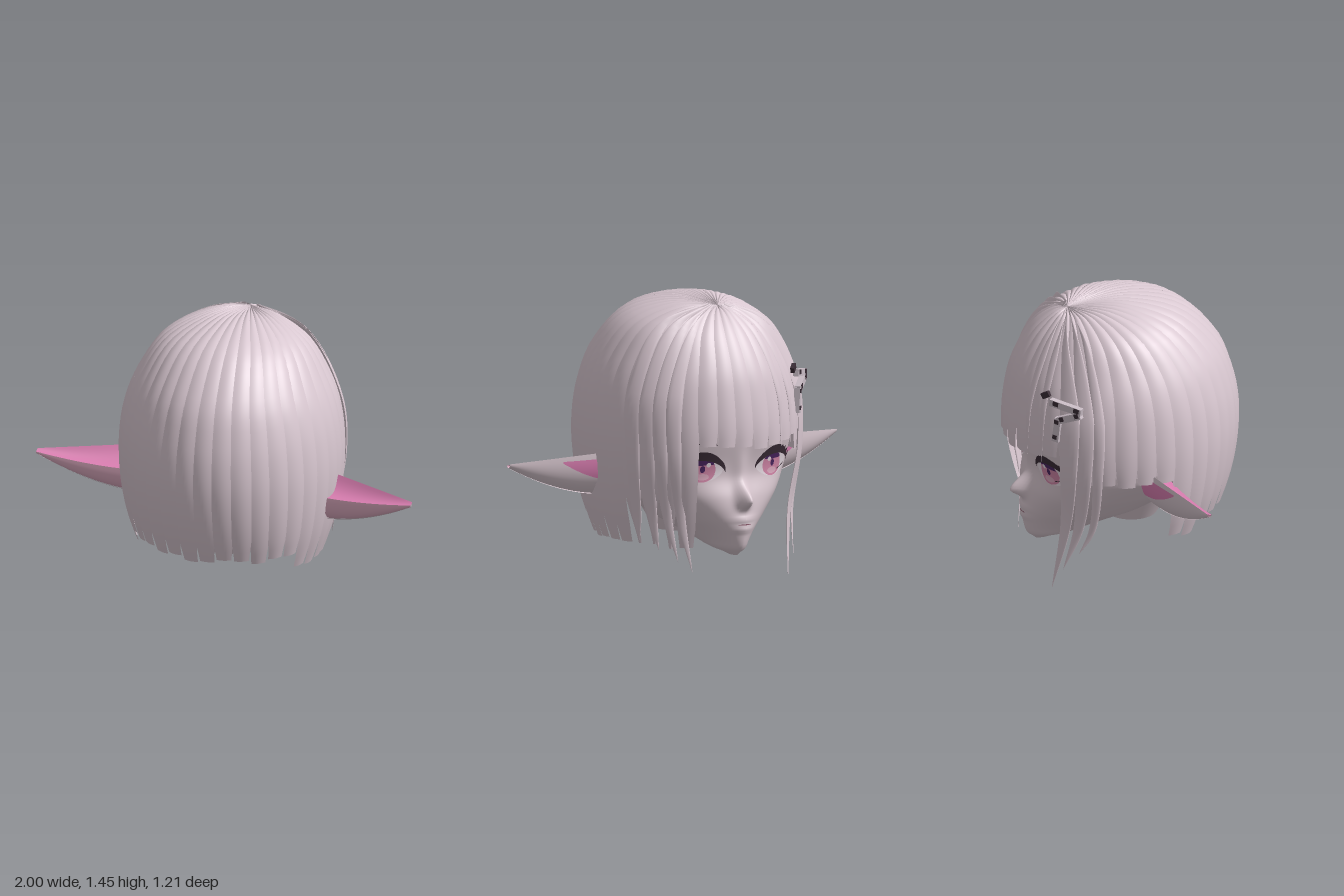
import * as THREE from 'three';

const mat = (name, color) => {
  const m = new THREE.MeshStandardMaterial({ color, side: THREE.DoubleSide });
  m.name = name;
  return m;
};
const { lerp, smoothstep, degToRad } = THREE.MathUtils;

// Smooth grid surface from a rule fn(u, v) -> [x, y, z]
function grid(nu, nv, fn) {
  const pos = [], idx = [];
  for (let j = 0; j <= nv; j++) for (let i = 0; i <= nu; i++) pos.push(...fn(i / nu, j / nv));
  for (let j = 0; j < nv; j++) for (let i = 0; i < nu; i++) {
    const a = j * (nu + 1) + i, b = a + nu + 1;
    idx.push(a, a + 1, b, a + 1, b + 1, b);
  }
  const g = new THREE.BufferGeometry();
  g.setAttribute('position', new THREE.Float32BufferAttribute(pos, 3));
  g.setIndex(idx);
  g.computeVertexNormals();
  return g;
}

// Smooth interpolation between table rows
function sample(rows, s) {
  const n = rows.length - 1, i = Math.min(Math.max(Math.floor(s), 0), n - 1), t = s - i;
  const p0 = rows[Math.max(i - 1, 0)], p1 = rows[i], p2 = rows[i + 1], p3 = rows[Math.min(i + 2, n)];
  return p1.map((b, k) => {
    const m1 = (p2[k] - p0[k]) / 2, m2 = (p3[k] - b) / 2, d = p2[k] - b;
    return b + t * (m1 + t * (3 * d - 2 * m1 - m2 + t * (m1 + m2 - 2 * d)));
  });
}

// Face cross-sections: y, front z, widest z, back z, half width
const FACE = [
  [0.155, -0.45, -0.42, -0.38, 0.01], [0.19, -0.495, -0.36, -0.22, 0.075], [0.25, -0.515, -0.25, -0.05, 0.14],
  [0.34, -0.52, -0.12, 0.14, 0.255], [0.45, -0.505, -0.05, 0.3, 0.36], [0.58, -0.472, 0, 0.4, 0.45],
  [0.8, -0.52, 0, 0.48, 0.49], [1.0, -0.51, 0, 0.46, 0.47], [1.2, -0.4, -0.02, 0.36, 0.37], [1.34, -0.1, -0.05, 0, 0.02],
];
function faceRow(y) {
  let i = 0;
  while (i < FACE.length - 2 && y > FACE[i + 1][0]) i++;
  const r = sample(FACE, i + (y - FACE[i][0]) / (FACE[i + 1][0] - FACE[i][0]));
  return { zf: r[1], zc: r[2], zb: r[3], w: Math.max(r[4], 0.005), p: 1.8 + 0.8 * smoothstep(y, 0.2, 0.55) };
}
const bell = (d, w) => Math.exp(-((d / w) ** 2));
// Nose, bridge and lips
const bumps = (x, y) => 0.08 * bell(y - 0.44, y > 0.44 ? 0.075 : 0.035) * bell(x, 0.036)
  + 0.02 * bell(y - 0.6, 0.1) * bell(x, 0.045)
  + 0.013 * (bell(y - 0.345, 0.018) + bell(y - 0.297, 0.018)) * bell(x, 0.06);
function faceZ(x, y) {
  const { zf, zc, w, p } = faceRow(y);
  return zc + (zf - zc) * Math.max(0, 1 - (Math.abs(x) / w) ** p) ** (1 / p) - bumps(x, y);
}

// Hair dome levels: front z, front y, back z, back y, half width
const HAIR = [
  [-0.28, 1.41, -0.28, 1.41, 0], [-0.35, 1.38, 0, 1.452, 0.17], [-0.45, 1.28, 0.29, 1.385, 0.36],
  [-0.535, 1.14, 0.49, 1.2, 0.475], [-0.58, 1, 0.575, 1, 0.54], [-0.605, 0.8, 0.605, 0.8, 0.567],
  [-0.59, 0.6, 0.59, 0.6, 0.56], [-0.54, 0.4, 0.54, 0.4, 0.525], [-0.47, 0.2, 0.46, 0.2, 0.46],
];
const levelOf = (y) => 4 + (1 - y) * 5;
// Angle 0 is the back of the head, 90 is +x, 180 is the face
function hairPoint(deg, s, k = 1) {
  const [zf, yf, zb, yb, w] = sample(HAIR, s), a = degToRad(deg), c = Math.cos(a);
  const y = lerp(yf, yb, (c + 1) / 2) + (k - 1) * 0.6 * Math.max(0, 1 - s / 4);
  return [k * w * Math.sin(a), y, (zf + zb) / 2 + k * c * (zb - zf) / 2];
}
function tipHeight(a) {
  if (a > 145 || a < -150) return 0.73;
  if (a < -130) return 0.76;
  if (a < -80) return 0.62;
  if (a < -60) return 0.29;
  if (a < 60) return 0.34;
  return a < 130 ? 0.24 : 0.2;
}

export function createModel() {
  const root = new THREE.Group();
  root.name = 'elfHead';
  const M = {
    hair: mat('hair', 0xd8c7d0), skin: mat('skin', 0xd9c8d0), pink: mat('earPink', 0xdb7fb2),
    pale: mat('palePink', 0xdcaabf), lash: mat('lashDark', 0x3a2c36), iris: mat('irisPink', 0xd287a8),
    purple: mat('irisPurple', 0x4a2560), white: mat('eyeWhite', 0xe6dae2), clip: mat('clipGrey', 0xc9bcc5),
    mouth: mat('mouth', 0x8a5a6c),
  };
  const add = (name, geo, m, parent = root) => {
    const mesh = new THREE.Mesh(geo, m);
    mesh.name = name;
    parent.add(mesh);
    return mesh;
  };
  let seed = 7;
  const rand = () => (seed = (seed * 16807) % 2147483647) / 2147483647;

  // Face and skull, with points crowded towards the nose
  add('face', grid(110, 80, (u, v) => {
    const y = lerp(0.155, 1.34, v), { zf, zc, zb, w, p } = faceRow(y), q = 2 * u - 1;
    const t = Math.PI * Math.sign(q) * Math.abs(q) ** 1.6, c = Math.cos(t), s = Math.sin(t);
    const x = w * Math.sign(s) * Math.abs(s) ** (2 / p), r = Math.abs(c) ** (2 / p);
    return [x, y, c > 0 ? zc + (zf - zc) * r - bumps(x, y) : zc + (zb - zc) * r];
  }), M.skin);
  add('neck', new THREE.CylinderGeometry(0.27, 0.13, 0.24, 40, 4, true).translate(0, 0.355, 0.06), M.skin);

  // Thin plates that follow the face, between a lower and an upper line
  const plate = (name, m, side, x0, x1, low, high, off, parent) => add(name, grid(24, 8, (u, v) => {
    const x = lerp(x0, x1, u), y = lerp(low(u), high(u), v);
    return [side * x, y, faceZ(x, y) - off];
  }), m, parent);
  const arc = (u, e = 0.6) => Math.max(0, Math.sin(Math.PI * u)) ** e;
  const round = (u) => Math.sqrt(Math.max(0, 1 - (2 * u - 1) ** 2));
  const disc = (name, m, side, x, y, rx, ry, off, parent) =>
    plate(name, m, side, x - rx, x + rx, (u) => y - ry * round(u), (u) => y + ry * round(u), off, parent);
  for (const side of [1, -1]) {
    const eye = new THREE.Group();
    eye.name = side > 0 ? 'leftEye' : 'rightEye';
    root.add(eye);
    const top = (u) => 0.6 + 0.012 * u + 0.062 * arc(u);
    plate('eyeWhite', M.white, side, 0.1, 0.335, (u) => 0.6 - 0.055 * arc(u), top, 0.003, eye);
    disc('iris', M.iris, side, 0.213, 0.605, 0.07, 0.06, 0.005, eye);
    plate('irisTop', M.purple, side, 0.155, 0.271, (u) => 0.636 - 0.004 * round(u), (u) => 0.636 + 0.028 * round(u), 0.007, eye);
    disc('pupil', M.purple, side, 0.213, 0.612, 0.013, 0.018, 0.007, eye);
    disc('irisGlow', M.pale, side, 0.213, 0.572, 0.035, 0.016, 0.007, eye);
    disc('eyeShine', M.white, side, 0.185, 0.634, 0.012, 0.012, 0.009, eye);
    plate('upperLash', M.lash, side, 0.09, 0.35, (u) => top(u) - 0.01, (u) => top(u) + 0.014 + 0.022 * arc(u, 1), 0.01, eye);
    plate('lowerLash', M.lash, side, 0.25, 0.325, (u) => 0.57 + 0.024 * u, (u) => 0.573 + 0.026 * u, 0.006, eye);
    // Lash spikes fanning outwards
    for (let i = 0; i < 6; i++) {
      const x = 0.2 + i * 0.028, y = 0.685 - i * i * 0.0022;
      plate('lashSpike', M.lash, side, x, x + 0.028, (u) => y - 0.01 + 0.02 * u, (u) => y + 0.012 + 0.016 * u - 0.008 * u * u, 0.013, eye);
    }
    plate('brow', M.lash, side, 0.15, 0.29, (u) => 0.735 + 0.012 * arc(u, 1), (u) => 0.737 + 0.016 * arc(u, 1), 0.005, eye);
  }
  plate('mouthLine', M.mouth, 1, -0.04, 0.04, (u) => 0.319 - 0.002 * arc(u), (u) => 0.321 + 0.002 * arc(u), 0.004);

  // Long pointed ears, each made of three curved panels
  for (const side of [1, -1]) {
    const ear = new THREE.Group();
    ear.name = side > 0 ? 'leftEar' : 'rightEar';
    root.add(ear);
    // u1 shortens the panel; v0 and v1 narrow it, tapering to the far end by the given share
    const panel = (name, m, points, u1 = 1, v0 = 0, v1 = 1, taper = 0) => add(name, grid(24, 8, (a, b) => {
      const u = a * u1, t = lerp(v0, lerp(v1, v0, taper * a * a), b);
      const yt = 0.675 - 0.04 * u, yb = 0.45 + 0.165 * u ** 1.8, z0 = 0.03 + 0.095 * u, h = 0.062 * (1 - u) + 0.013;
      const [z, y] = [0, 1].map((k) => {
        const [p, c, q] = points.map((pt) => pt[k]);
        return (1 - t) ** 2 * p + 2 * t * (1 - t) * c + t * t * q;
      });
      return [side * (0.46 + 0.54 * u), lerp(yb, yt, y), z0 + h * z];
    }), m, ear);
    const rimF = [-1, 1], rimB = [1, 0.62], base = [0.2, 0];
    panel('earFront', M.skin, [rimF, [-1.2, 0.3], base]);
    panel('earFrontBlush', M.pink, [[-1.07, 1], [-1.28, 0.3], [0.12, 0]], 0.5, 0.1, 0.55, 0.9);
    panel('earBack', M.pale, [base, [1.2, 0.15], rimB]);
    panel('earLowerRim', M.skin, [[0.22, -0.02], [1.28, 0.13], [1.05, 0.62]], 1, 0, 0.16);
    panel('earInside', M.pink, [rimB, [-0.2, 0.6], rimF]);
  }

  // Hair: an under-layer, then a ring of rounded clumps from the crown
  const hair = new THREE.Group();
  hair.name = 'hair';
  root.add(hair);
  add('hairUnderLayer', grid(120, 30, (u, v) => {
    const a = lerp(-180, 180, u);
    const end = Math.abs(a) > 138 ? 0.82 : a < -80 ? 0.66 : 0.46;
    return hairPoint(a, levelOf(end) * v, 0.965);
  }), M.hair, hair);
  const COUNT = 36, STEP = 360 / COUNT;
  for (let i = 0; i < COUNT; i++) {
    const mid = -180 + (i + 0.5) * STEP, pointed = mid > 112 && mid < 145;
    const end = tipHeight(mid) + (rand() - 0.5) * 0.03, s1 = levelOf(end);
    const taper = pointed ? 0.3 : 0.12, pinch = pointed ? 0.8 : 0.2, lift = 0.986 + rand() * 0.007;
    add('hairClump', grid(8, 30, (u, v) => {
      const s = s1 * v, k = smoothstep(s, s1 - taper * 5, s1) * pinch;
      const a = mid + (u - 0.5) * STEP * 1.06 * (1 - k);
      return hairPoint(a, s, lift + 0.012 * Math.sin(Math.PI * u));
    }), M.hair, hair);
  }

  // Free locks: flattened tapering tubes along a curve
  const lock = (points, width, thick = 0.012) => {
    const curve = new THREE.CatmullRomCurve3(points.map((p) => new THREE.Vector3(...p)));
    add('hairLock', grid(12, 40, (u, v) => {
      const p = curve.getPoint(v), t = curve.getTangent(v), a = u * Math.PI * 2;
      const out = new THREE.Vector3(p.x, 0, p.z).normalize();
      const across = new THREE.Vector3().crossVectors(t, out).normalize();
      const f = Math.min(1, 0.15 + v * 2) * (1 - v ** 3);
      return p.addScaledVector(across, Math.cos(a) * width * f).addScaledVector(out, Math.sin(a) * thick * f).toArray();
    }), M.hair, hair);
  };
  const strand = (angle, tip, width, lean = 0) => lock([
    hairPoint(angle + lean, 0.4, 1.01), hairPoint(angle + lean * 0.6, 2, 1.005), hairPoint(angle, 4, 1.005),
    hairPoint(angle, 5.5, 1), [lerp(tip[0], hairPoint(angle, 7)[0], 0.6), 0.36, lerp(tip[2], hairPoint(angle, 7)[2], 0.6)], tip,
  ], width);
  strand(-134, [-0.3, 0.005, -0.47], 0.062, -14);
  strand(-126, [-0.36, 0.13, -0.43], 0.055, -10);
  strand(-119, [-0.4, 0.22, -0.36], 0.035, -8);
  strand(138, [0.27, 0.085, -0.45], 0.045, 8);
  strand(131, [0.33, 0.14, -0.41], 0.045, 6);
  strand(124, [0.4, 0.2, -0.34], 0.05, 4);
  strand(116, [0.45, 0.24, -0.24], 0.05);
  // Thin strands beside the parting
  for (const a of [-150, -160]) {
    lock([hairPoint(a, 0.3, 1.01), hairPoint(a, 2, 1), hairPoint(a, 4, 1.002), hairPoint(a, levelOf(0.7), 1)], 0.026, 0.008);
  }

  // Hair clips with dark patches on the right lock
  const clips = new THREE.Group();
  clips.name = 'hairClips';
  clips.position.set(-0.39, 1.0, -0.415);
  clips.rotation.y = degToRad(222);
  root.add(clips);
  const bar = (x, y, w, tilt) => {
    const g = new THREE.Group();
    g.name = 'hairClip';
    g.position.set(x, y, 0.018);
    g.rotation.z = tilt;
    clips.add(g);
    add('clipBar', new THREE.BoxGeometry(w, 0.036, 0.03), M.clip, g);
    for (const k of [-0.3, 0.36]) {
      add('clipPatch', new THREE.BoxGeometry(w * 0.17, 0.024, 0.008), M.lash, g).position.set(k * w, 0.004, 0.014);
    }
  };
  bar(0, 0.05, 0.18, -0.12);
  bar(0.02, -0.005, 0.14, 0.4);
  bar(-0.05, -0.085, 0.13, 1.45);
  const pin = (name, x, y, z, w, tilt) => {
    const p = add(name, new THREE.BoxGeometry(w, 0.03, 0.02), M.lash, clips);
    p.position.set(x, y, z);
    p.rotation.z = tilt;
  };
  pin('clipBow', -0.12, 0.09, 0.012, 0.045, 0.5);

  return root;
}
